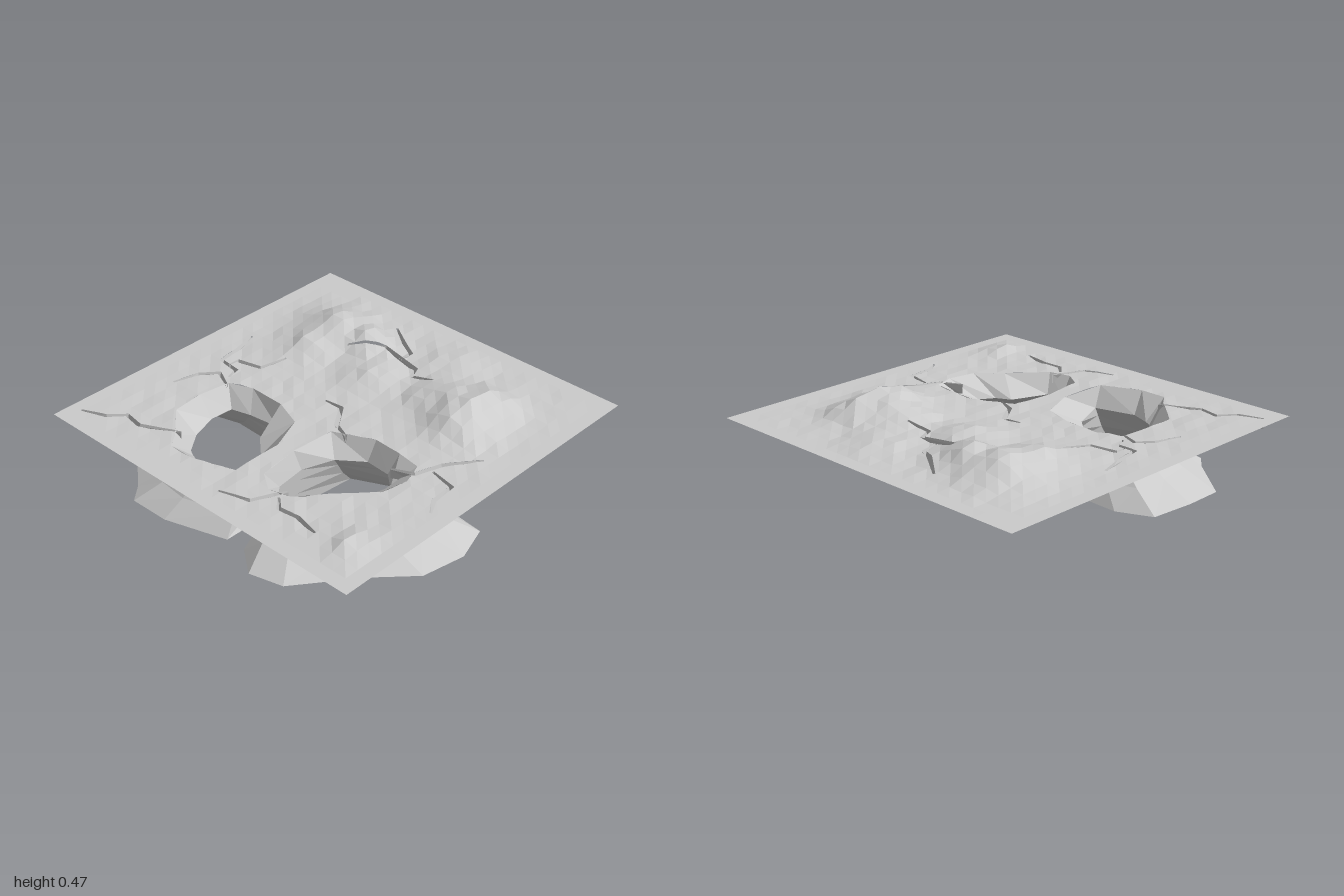
import * as THREE from 'three';

const BASE = 0.345, CELLS = 26;
const material = new THREE.MeshStandardMaterial({ color: 0xcccccc, flatShading: true, side: THREE.DoubleSide });

// Hills: x, z, height, radius
const hills = [
  [0.3, 0.54, 0.1, 0.16], [0.53, 0.54, 0.08, 0.15], [0.42, 0.3, 0.07, 0.16],
  [0.58, -0.54, 0.1, 0.17], [0.32, -0.5, 0.06, 0.15], [0.56, -0.28, 0.08, 0.14],
  [0.36, -0.08, 0.06, 0.15], [0.72, 0.15, 0.035, 0.17], [-0.75, 0.8, 0.038, 0.11],
];

// Two openings: matching loops (x, z) for ground rim and narrow neck;
// the foot is the rim widened by scale and moved by shift
const tunnels = [
  {
    name: 'rearTunnel', scale: [1.33, 1.52], shift: [0.12, 0.04],
    rim: [[-0.71, -0.42], [-0.55, -0.59], [-0.38, -0.6], [-0.2, -0.58], [-0.15, -0.45], [-0.16, -0.24],
      [-0.22, -0.08], [-0.42, 0], [-0.7, 0], [-0.78, -0.22], [-0.78, -0.37]],
    neck: [[-0.64, -0.39], [-0.53, -0.47], [-0.38, -0.52], [-0.25, -0.51], [-0.22, -0.4], [-0.2, -0.23],
      [-0.33, -0.22], [-0.43, -0.11], [-0.64, -0.02], [-0.7, -0.24], [-0.66, -0.35]],
  },
  {
    name: 'frontTunnel', scale: [1.62, 1.5], shift: [0.215, -0.03],
    rim: [[-0.7, 0.22], [-0.63, 0.12], [-0.4, 0.09], [-0.16, 0.11], [-0.06, 0.32], [-0.07, 0.48],
      [-0.09, 0.61], [-0.21, 0.65], [-0.36, 0.62], [-0.48, 0.5], [-0.67, 0.34]],
    neck: [[-0.64, 0.22], [-0.55, 0.14], [-0.38, 0.12], [-0.21, 0.18], [-0.11, 0.31], [-0.12, 0.45],
      [-0.19, 0.53], [-0.3, 0.52], [-0.38, 0.47], [-0.42, 0.39], [-0.62, 0.31]],
  },
];

// Crack paths (x, z) with their branches
const cracks = [
  [[-0.88, -0.93], [-0.83, -0.8], [-0.75, -0.73], [-0.77, -0.62], [-0.67, -0.42]],
  [[-0.39, -0.79], [-0.25, -0.75], [-0.17, -0.68], [-0.22, -0.57]],
  [[-0.16, -0.62], [-0.09, -0.64], [-0.08, -0.76], [0.05, -0.78], [0.2, -0.82]],
  [[-0.08, -0.7], [-0.02, -0.7], [0.01, -0.56], [0.15, -0.51]],
  [[0.43, -0.33], [0.55, -0.17], [0.53, 0.06], [0.46, 0.09], [0.48, 0.22]],
  [[0.54, -0.06], [0.64, -0.07], [0.68, -0.15], [0.79, -0.3]],
  [[0.02, -0.1], [0.03, 0], [-0.1, 0.09], [-0.14, 0.19]],
  [[-0.87, 0.06], [-0.82, 0.22], [-0.71, 0.27], [-0.65, 0.3]],
  [[-0.71, 0.3], [-0.77, 0.36], [-0.76, 0.47], [-0.79, 0.61]],
  [[-0.19, 0.53], [-0.14, 0.64], [0, 0.69], [0.16, 0.81]],
  [[-0.07, 0.69], [-0.1, 0.83], [-0.24, 0.84], [-0.32, 0.89]],
];

function noise(i, j) {
  const s = Math.sin(i * 127.1 + j * 311.7) * 43758.5453;
  return s - Math.floor(s) - 0.5;
}

// Ground height at a grid corner, flat along the border
function cornerHeight(i, j) {
  const x = i * 2 / CELLS - 1, z = j * 2 / CELLS - 1;
  let h = 0;
  for (const [hx, hz, a, r] of hills) h += a * Math.exp(-((x - hx) ** 2 + (z - hz) ** 2) / r ** 2);
  h += noise(i, j) * (0.008 + h * 0.16);
  return BASE + h * THREE.MathUtils.smoothstep(1 - Math.max(Math.abs(x), Math.abs(z)), 0.05, 0.2);
}

// Height anywhere, matching the two triangles of each grid cell
function height(x, z) {
  const u = (x + 1) * CELLS / 2, v = (z + 1) * CELLS / 2;
  const i = Math.floor(u), j = Math.floor(v), s = u - i, t = v - j;
  const b = cornerHeight(i + 1, j), c = cornerHeight(i, j + 1);
  if (s + t <= 1) {
    const a = cornerHeight(i, j);
    return a + (b - a) * s + (c - a) * t;
  }
  const d = cornerHeight(i + 1, j + 1);
  return d + (c - d) * (1 - s) + (b - d) * (1 - t);
}

function meshFrom(name, triangles) {
  const geometry = new THREE.BufferGeometry();
  geometry.setAttribute('position', new THREE.Float32BufferAttribute(triangles.flat(2), 3));
  geometry.computeVertexNormals();
  const mesh = new THREE.Mesh(geometry, material);
  mesh.name = name;
  return mesh;
}

const quad = (a, b, c, d) => [[a, b, c], [a, c, d]];

// A convex cutter (x, z) with consistently ordered corners and its bounds
function cutter(points) {
  const v = points.map(([x, z]) => new THREE.Vector2(x, z));
  if (THREE.ShapeUtils.area(v) < 0) v.reverse();
  return { v, box: new THREE.Box2().setFromPoints(v) };
}

// Pieces of a polygon that lie outside a convex cutter
function subtract(poly, { v, box }) {
  const bounds = new THREE.Box2().setFromPoints(poly.map(p => new THREE.Vector2(p[0], p[2])));
  if (!bounds.intersectsBox(box)) return [poly];
  const pieces = [];
  let rest = poly;
  for (let k = 0; k < v.length && rest.length > 2; k++) {
    const a = v[k], b = v[(k + 1) % v.length];
    const side = p => (b.x - a.x) * (p[2] - a.y) - (b.y - a.y) * (p[0] - a.x);
    const inside = [], outside = [];
    rest.forEach((p, n) => {
      const q = rest[(n + 1) % rest.length], sp = side(p), sq = side(q);
      if (sp >= 0) inside.push(p);
      if (sp <= 0) outside.push(p);
      if (sp * sq < 0) {
        const m = p.map((c, axis) => c + (q[axis] - c) * sp / (sp - sq));
        inside.push(m);
        outside.push(m);
      }
    });
    if (outside.length > 2) pieces.push(outside);
    rest = inside;
  }
  return pieces;
}

// Left and right banks of a crack, narrowing at its ends
function banks(path) {
  return path.map(([x, z], i) => {
    const p = path[Math.max(i - 1, 0)], n = path[Math.min(i + 1, path.length - 1)];
    const dx = n[0] - p[0], dz = n[1] - p[1];
    const w = (i === 0 || i === path.length - 1 ? 0.006 : 0.013) / Math.hypot(dx, dz);
    return { left: [x - dz * w, z + dx * w], right: [x + dz * w, z - dx * w], mid: [x, z] };
  });
}

// Faceted ground with the openings and cracks cut out
function buildGround(crackBanks) {
  const cutters = [];
  for (const { rim } of tunnels) {
    const outline = rim.map(([x, z]) => new THREE.Vector2(x, z));
    for (const f of THREE.ShapeUtils.triangulateShape(outline, [])) cutters.push(cutter(f.map(i => rim[i])));
  }
  for (const b of crackBanks)
    for (let i = 0; i + 1 < b.length; i++) cutters.push(cutter([b[i].left, b[i + 1].left, b[i + 1].right, b[i].right]));

  const corner = (i, j) => [i * 2 / CELLS - 1, cornerHeight(i, j), j * 2 / CELLS - 1];
  const triangles = [];
  for (let i = 0; i < CELLS; i++) for (let j = 0; j < CELLS; j++) {
    let polys = [[corner(i, j), corner(i, j + 1), corner(i + 1, j)],
      [corner(i + 1, j), corner(i, j + 1), corner(i + 1, j + 1)]];
    for (const c of cutters) polys = polys.flatMap(p => subtract(p, c));
    for (const p of polys) for (let k = 1; k + 1 < p.length; k++) triangles.push([p[0], p[k], p[k + 1]]);
  }
  return meshFrom('ground', triangles);
}

// Steep V-shaped groove hanging below the ground
function buildCrack(b) {
  const top = ([x, z]) => [x, height(x, z), z], bottom = ([x, z]) => [x, 0.292, z];
  const triangles = [];
  for (let i = 0; i + 1 < b.length; i++) {
    const p = b[i], q = b[i + 1];
    triangles.push(...quad(top(p.left), top(q.left), bottom(q.mid), bottom(p.mid)));
    triangles.push(...quad(top(q.right), top(p.right), bottom(p.mid), bottom(q.mid)));
  }
  return meshFrom('crack', triangles);
}

// Tunnel wall lofted from rim through neck to flared foot
function buildTunnel({ name, rim, neck, scale, shift }) {
  const foot = rim.map(p => p.map((c, axis) => c * scale[axis] + shift[axis]));
  const flare = (t, y) => neck.map(([x, z], i) => [x + (foot[i][0] - x) * t, y, z + (foot[i][1] - z) * t]);
  const rings = [rim.map(([x, z]) => [x, height(x, z), z]),
    flare(0, 0.235), flare(0.22, 0.18), flare(0.52, 0.1), flare(1, 0.01)];
  rings[4].forEach((p, i) => { p[1] += 0.02 * noise(i, 3); });
  const triangles = [];
  for (let r = 0; r + 1 < rings.length; r++)
    rim.forEach((_, i) => {
      const k = (i + 1) % rim.length;
      triangles.push(...quad(rings[r][i], rings[r][k], rings[r + 1][k], rings[r + 1][i]));
    });
  return meshFrom(name, triangles);
}

export function createModel() {
  const group = new THREE.Group();
  group.name = 'crackedGround';
  const crackBanks = cracks.map(banks);
  group.add(buildGround(crackBanks), ...crackBanks.map(buildCrack), ...tunnels.map(buildTunnel));
  return group;
}
